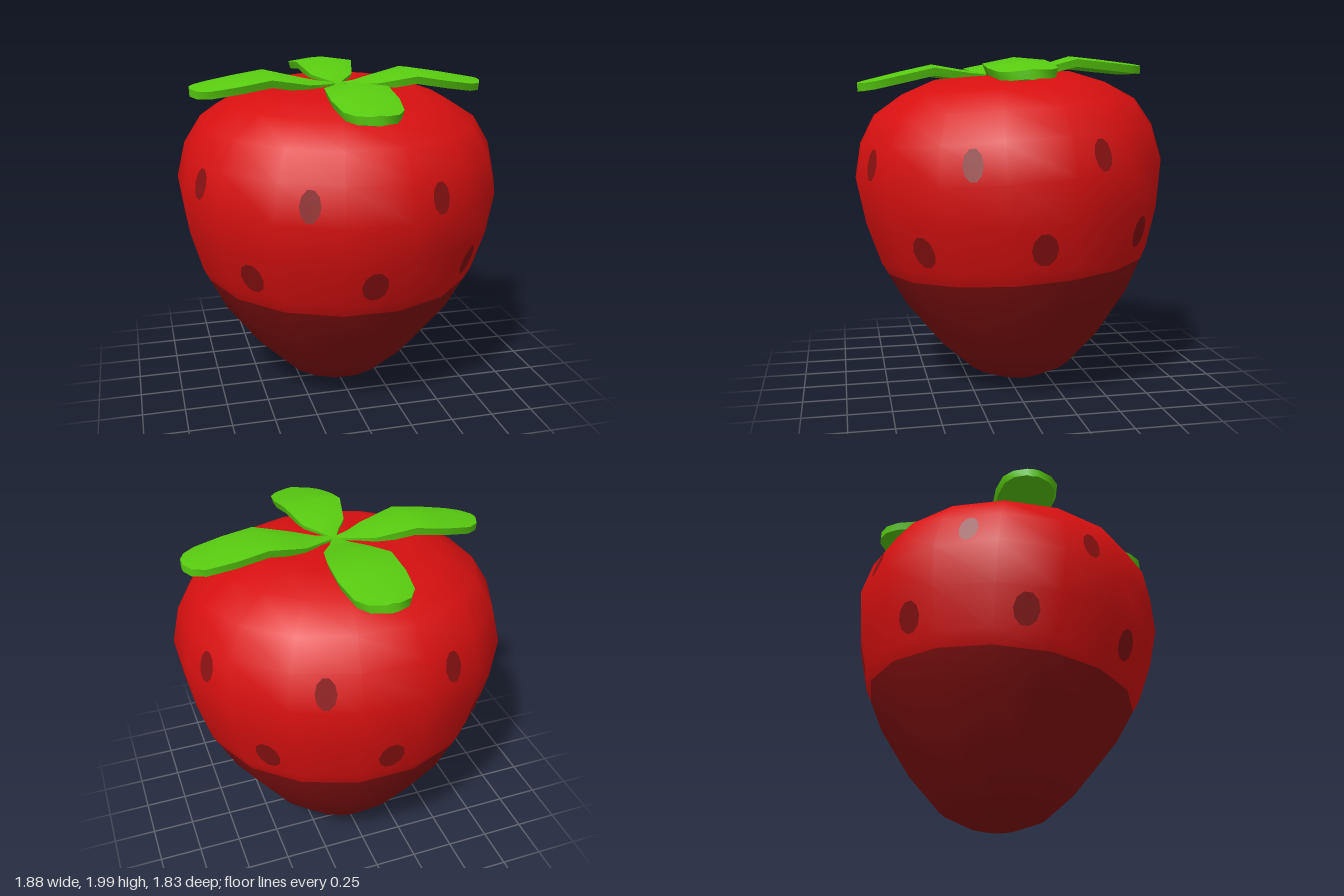
import * as THREE from 'three';
import { toCreasedNormals } from 'three/addons/utils/BufferGeometryUtils.js';

const SIDES = 16;

// Berry outline as [radius, height]; the dip line is the last point of the lower part
const LOWER = [[0, 0], [0.17, 0.03], [0.325, 0.1], [0.515, 0.29], [0.72, 0.57], [0.817, 0.765]];
const UPPER = [[0.817, 0.765], [0.855, 0.84], [0.925, 1.08], [0.96, 1.32], [0.91, 1.53],
  [0.81, 1.69], [0.63, 1.8], [0.42, 1.875], [0, 1.87]];

function lathe(profile) {
  const points = profile.map(([r, y]) => new THREE.Vector2(r, y));
  return new THREE.LatheGeometry(points, SIDES, Math.PI / SIDES);
}

// Flat oval lying in the middle of the body facet between two profile points
function seedGeometry([r0, y0], [r1, y1], width, height) {
  const g = new THREE.CircleGeometry(1, 10);
  g.scale(width / 2, height / 2, 1);
  g.translate(0, 0, 0.004);
  g.rotateX(Math.atan2(r1 - r0, y1 - y0));
  g.translate(0, (y0 + y1) / 2, ((r0 + r1) / 2) * Math.cos(Math.PI / SIDES));
  return g;
}

// Arched leaf along +x, made of six-point cross-sections
function leafGeometry() {
  // [distance from centre, half width, height of ridge]
  const sections = [[0, 0.01, 1.885], [0.1, 0.06, 1.895], [0.2, 0.125, 1.915], [0.42, 0.178, 1.966],
    [0.6, 0.183, 1.937], [0.76, 0.16, 1.908], [0.83, 0.11, 1.895], [0.862, 0.035, 1.887]];
  const thick = 0.045;
  const pos = [], index = [];
  sections.forEach(([x, w, y]) => {
    const edge = y - w * 0.14, mid = 0.01;
    const ring = [[y, 0], [edge, w], [edge - thick, w * 0.92], [y - thick - 0.01, 0],
      [edge - thick, -w * 0.92], [edge, -w]];
    ring.forEach(([py, pz]) => pos.push(x, py, pz + mid * Math.min(1, x * 3)));
  });
  const n = 6, last = (sections.length - 1) * n;
  for (let i = 0; i < sections.length - 1; i++) {
    for (let j = 0; j < n; j++) {
      const a = i * n + j, b = i * n + (j + 1) % n;
      index.push(a, b, b + n, a, b + n, a + n);
    }
  }
  for (let j = 1; j < n - 1; j++) index.push(last, last + j, last + j + 1);
  const g = new THREE.BufferGeometry();
  g.setAttribute('position', new THREE.Float32BufferAttribute(pos, 3));
  g.setIndex(index);
  return toCreasedNormals(g, 0.7);
}

export function createModel() {
  const red = new THREE.MeshStandardMaterial({ color: 0xd81010 });
  red.name = 'berry red';
  const darkRed = new THREE.MeshStandardMaterial({ color: 0x8a1111 });
  darkRed.name = 'dark red';
  const green = new THREE.MeshStandardMaterial({ color: 0x58cc10 });
  green.name = 'leaf green';

  const add = (parent, name, geometry, material) => {
    const mesh = new THREE.Mesh(geometry, material);
    mesh.name = name;
    parent.add(mesh);
    return mesh;
  };

  // Berry: red top and dark lower part, slightly narrower front to back
  const body = new THREE.Group();
  body.name = 'berry';
  body.scale.z = 0.975;
  add(body, 'berryTop', lathe(UPPER), red);
  add(body, 'berryBottom', lathe(LOWER), darkRed);

  // Two staggered rows of eight seeds
  const upperSeed = seedGeometry(UPPER[3], UPPER[4], 0.115, 0.18);
  const lowerSeed = seedGeometry(UPPER[1], UPPER[2], 0.15, 0.19);
  for (let i = 0; i < 8; i++) {
    const angle = (i * Math.PI) / 4;
    add(body, 'upperSeed', upperSeed, darkRed).rotation.y = angle + Math.PI / 8;
    add(body, 'lowerSeed', lowerSeed, darkRed).rotation.y = angle;
  }

  // Four leaves in a cross
  const leaves = new THREE.Group();
  leaves.name = 'leaves';
  const leaf = leafGeometry();
  for (let i = 0; i < 4; i++) add(leaves, 'leaf', leaf, green).rotation.y = (i * Math.PI) / 2;

  // Lean the whole fruit a little about a point above its middle
  const fruit = new THREE.Group();
  fruit.name = 'fruit';
  body.position.y = leaves.position.y = -1.45;
  fruit.add(body, leaves);
  fruit.position.y = 1.45;
  fruit.rotation.x = 0.065;

  const model = new THREE.Group();
  model.name = 'strawberry';
  model.add(fruit);
  return model;
}
